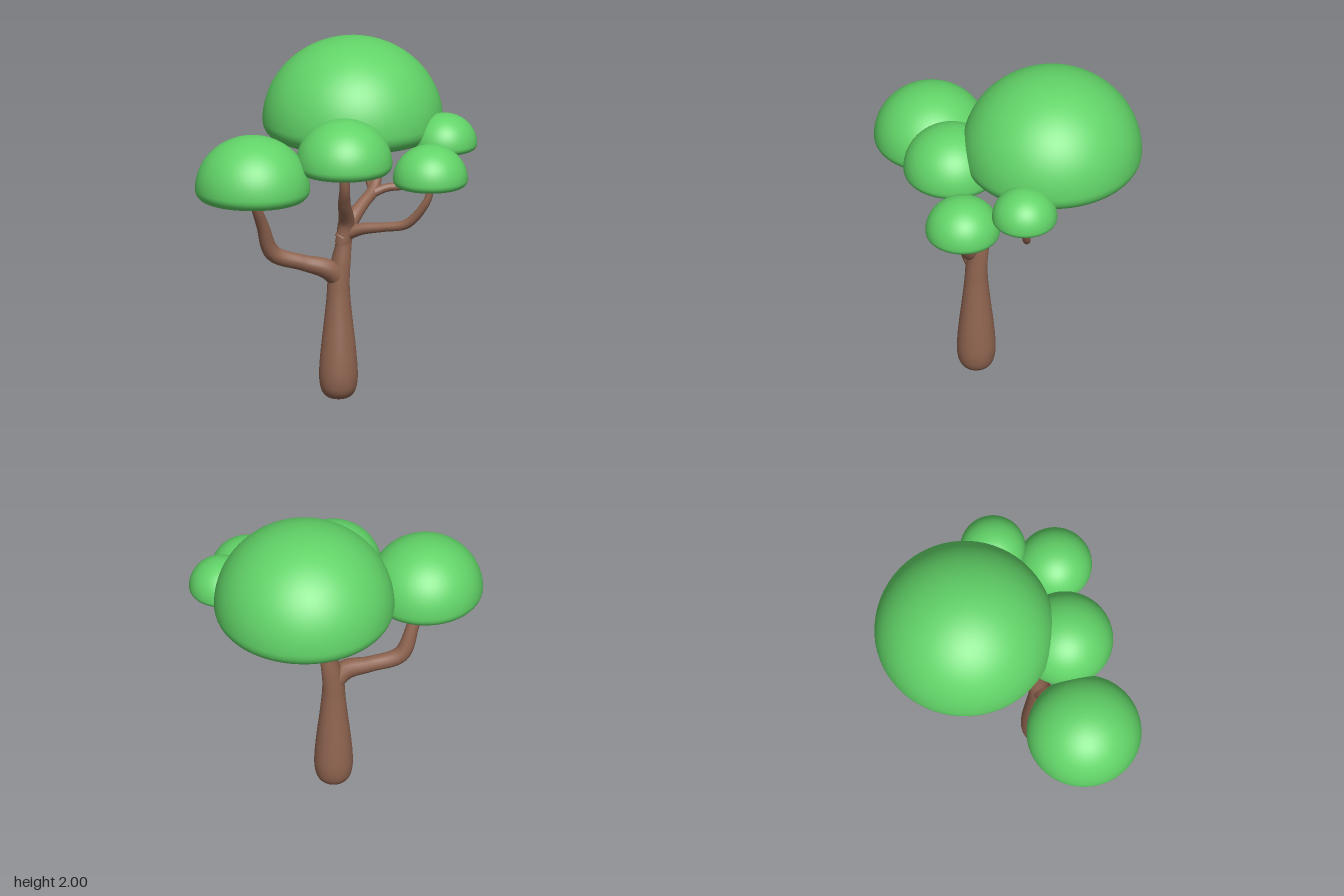
import * as THREE from 'three';

const bark = new THREE.MeshStandardMaterial({ color: 0x8f6450 });
const leaf = new THREE.MeshStandardMaterial({ color: 0x62d468 });
const V2 = (x, y) => new THREE.Vector2(x, y);

// Trunk: a lathed profile that leans back slightly near the top
function trunk() {
  const outline = new THREE.SplineCurve([
    V2(0, 0), V2(0.06, 0.012), V2(0.095, 0.05), V2(0.109, 0.12), V2(0.107, 0.21), V2(0.096, 0.33),
    V2(0.08, 0.47), V2(0.067, 0.6), V2(0.062, 0.7), V2(0.056, 0.8), V2(0.046, 0.9), V2(0.047, 1.0),
    V2(0.03, 1.05), V2(0, 1.06)]);
  const pts = outline.getPoints(70);
  pts.forEach(p => { p.x = Math.max(p.x, 0); });
  pts[0].x = pts[pts.length - 1].x = 0;
  const geo = new THREE.LatheGeometry(pts, 40);
  const pos = geo.attributes.position;
  for (let i = 0; i < pos.count; i++) {
    const lean = THREE.MathUtils.smoothstep(pos.getY(i), 0.65, 1.05);
    pos.setX(i, pos.getX(i) + 0.05);
    pos.setZ(i, pos.getZ(i) + 0.015 - 0.06 * lean);
  }
  return new THREE.Mesh(geo, bark);
}

// Branch: tapered tube; every point is [x, y, z, radius]
function branch(points) {
  const curve = new THREE.CatmullRomCurve3(points.map(p => new THREE.Vector3(p[0], p[1], p[2])));
  const radii = new THREE.SplineCurve(points.map((p, i) => V2(i, p[3])));
  const steps = 40, sides = 16;
  const geo = new THREE.TubeGeometry(curve, steps, 1, sides);
  const pos = geo.attributes.position, v = new THREE.Vector3();
  for (let i = 0; i <= steps; i++) {
    const centre = curve.getPointAt(i / steps);
    const r = radii.getPoint(curve.getUtoTmapping(i / steps)).y;
    for (let j = 0; j <= sides; j++) {
      const k = i * (sides + 1) + j;
      v.fromBufferAttribute(pos, k).sub(centre).multiplyScalar(r).add(centre);
      pos.setXYZ(k, v.x, v.y, v.z);
    }
  }
  return new THREE.Mesh(geo, bark);
}

// Canopy: dome with a rounded rim and flat underside, unit radius
function canopyGeometry() {
  const pts = [V2(0, 0), V2(0.4, 0), V2(0.7, 0)];
  for (let i = 0; i <= 10; i++) {
    const a = (i / 10) * Math.PI / 2;
    pts.push(V2(0.8 + 0.2 * Math.sin(a), 0.2 - 0.2 * Math.cos(a)));
  }
  for (let i = 1; i <= 24; i++) {
    const a = (i / 24) * Math.PI / 2;
    pts.push(V2(i === 24 ? 0 : Math.cos(a), 0.2 + 0.935 * Math.sin(a)));
  }
  return new THREE.LatheGeometry(pts, 64);
}

export function createModel() {
  const tree = new THREE.Group();
  tree.name = 'tree';
  const add = (name, mesh) => { mesh.name = name; tree.add(mesh); };

  add('trunk', trunk());

  const branches = {
    frontBranch: [[0.05, 0.68, 0.0, 0.055], [0.03, 0.76, 0.08, 0.058], [-0.05, 0.805, 0.2, 0.046],
      [-0.135, 0.87, 0.35, 0.047], [-0.135, 1.04, 0.43, 0.036], [-0.125, 1.16, 0.49, 0.03], [-0.125, 1.28, 0.53, 0.028]],
    middleBranch: [[0.05, 0.9, -0.02, 0.045], [0.07, 1.02, -0.03, 0.046], [0.125, 1.15, 0.04, 0.036],
      [0.165, 1.25, 0.075, 0.03], [0.175, 1.4, 0.09, 0.027]],
    leftBranch: [[0.05, 0.95, -0.03, 0.042], [0.13, 0.985, -0.08, 0.035], [0.25, 1.005, -0.15, 0.027],
      [0.37, 1.035, -0.215, 0.027], [0.47, 1.16, -0.265, 0.023], [0.49, 1.23, -0.28, 0.021], [0.495, 1.33, -0.28, 0.02]],
    backLimb: [[0.05, 0.92, -0.01, 0.045], [0.045, 1.02, -0.09, 0.045], [0.02, 1.09, -0.2, 0.036],
      [-0.01, 1.155, -0.32, 0.034], [-0.05, 1.22, -0.38, 0.027], [-0.1, 1.3, -0.43, 0.026],
      [-0.15, 1.39, -0.485, 0.021], [-0.2, 1.48, -0.53, 0.02]],
    backLeftBranch: [[0.0, 1.13, -0.28, 0.026], [0.05, 1.165, -0.36, 0.024], [0.13, 1.175, -0.44, 0.02],
      [0.22, 1.2, -0.52, 0.021], [0.275, 1.28, -0.555, 0.018], [0.295, 1.38, -0.575, 0.017], [0.3, 1.46, -0.575, 0.017]],
    innerTwig: [[-0.08, 1.27, -0.415, 0.022], [-0.05, 1.34, -0.405, 0.02], [0.02, 1.42, -0.37, 0.018], [0.05, 1.47, -0.35, 0.018]],
    outerTwig: [[0.0, 1.14, -0.3, 0.026], [-0.08, 1.185, -0.35, 0.023], [-0.21, 1.23, -0.385, 0.022],
      [-0.29, 1.32, -0.37, 0.02], [-0.345, 1.42, -0.345, 0.018], [-0.36, 1.47, -0.34, 0.018]],
  };
  for (const name in branches) add(name, branch(branches[name]));

  // Canopies: x, underside height, z, radius
  const dome = canopyGeometry();
  const canopies = {
    mainCanopy: [-0.2, 1.42, -0.335, 0.511],
    frontCanopy: [-0.13, 1.207, 0.515, 0.326],
    middleCanopy: [0.175, 1.345, 0.09, 0.274],
    leftCanopy: [0.495, 1.263, -0.28, 0.212],
    backLeftCanopy: [0.3, 1.395, -0.575, 0.185],
  };
  for (const name in canopies) {
    const [x, y, z, r] = canopies[name];
    const mesh = new THREE.Mesh(dome, leaf);
    mesh.position.set(x, y, z);
    mesh.scale.setScalar(r);
    add(name, mesh);
  }
  return tree;
}
